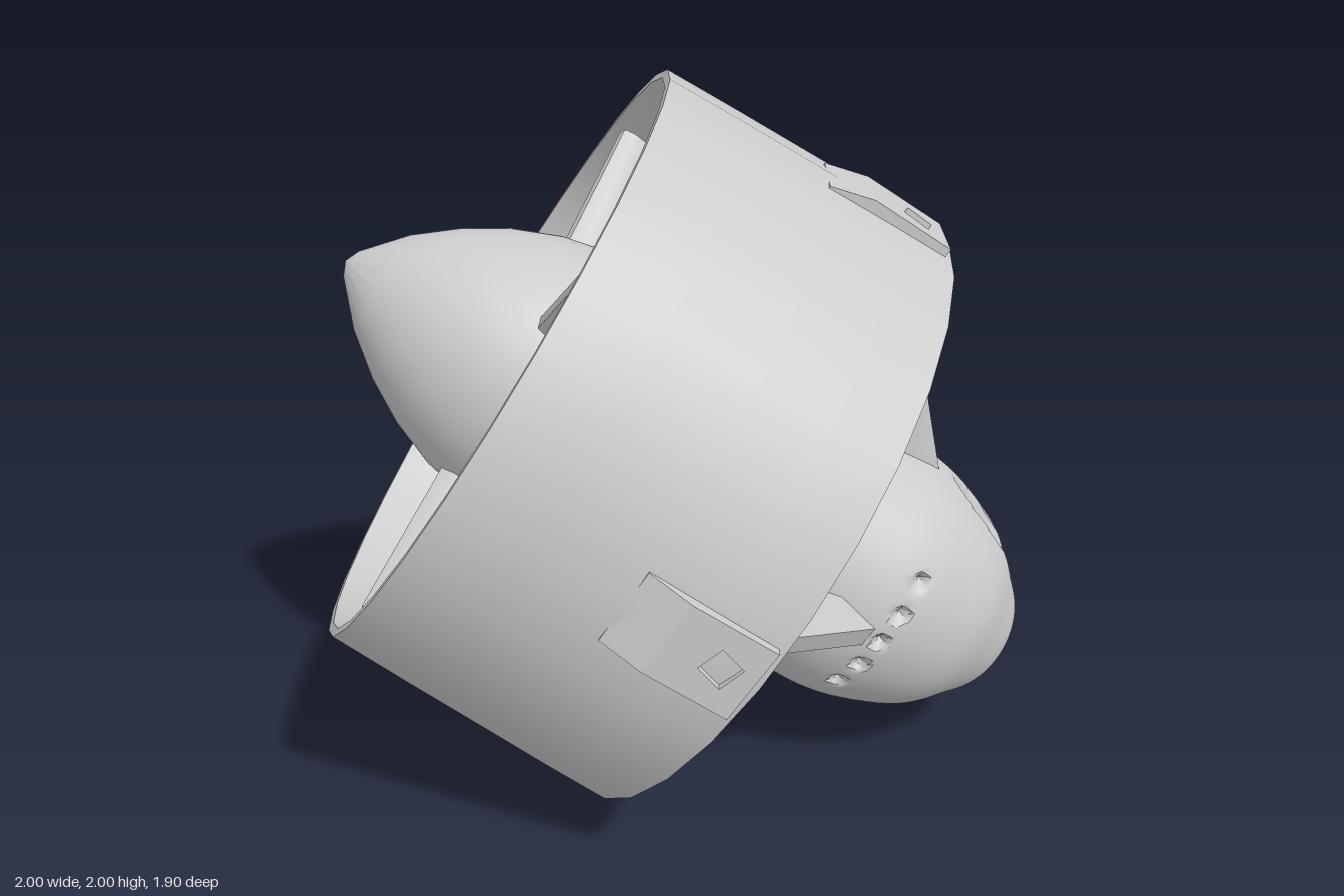
import * as THREE from 'three';
import { toCreasedNormals } from 'three/addons/utils/BufferGeometryUtils.js';

const grey = new THREE.MeshStandardMaterial({ color: 0xcccccc });
const v2 = (p) => new THREE.Vector2(p[0], p[1]);

function mesh(name, geometry) {
  const m = new THREE.Mesh(geometry, grey);
  m.name = name;
  return m;
}

// Move every vertex by a rule, then refresh the normals
function warp(geo, rule) {
  const p = geo.attributes.position;
  const v = new THREE.Vector3();
  for (let i = 0; i < p.count; i++) {
    rule(v.fromBufferAttribute(p, i));
    p.setXYZ(i, v.x, v.y, v.z);
  }
  geo.computeVertexNormals();
  return geo;
}

// Radial vane: x runs outwards, y along the shaft, z across the thickness
function vane(sides, steps, rule) {
  const g = new THREE.CylinderGeometry(1, 1, 1, sides, steps).rotateZ(-Math.PI / 2);
  return toCreasedNormals(warp(g, (v) => rule(v, v.x + 0.5)), 0.6);
}

function polygonPath(Type, n, r, cx = 0, cy = 0, turn = 0) {
  const pts = [];
  for (let i = 0; i < n; i++) {
    const a = turn + (i / n) * Math.PI * 2;
    pts.push(new THREE.Vector2(cx + r * Math.cos(a), cy + r * Math.sin(a)));
  }
  return new Type(pts);
}

function arcSlot(r0, r1, a0, a1) {
  const p = new THREE.Path();
  p.absarc(0, 0, r1, a0, a1, false);
  p.absarc(0, 0, r0, a1, a0, true);
  p.closePath();
  return p;
}

const extrude = (shape, depth) =>
  new THREE.ExtrudeGeometry(shape, { depth, bevelEnabled: false, curveSegments: 6 });

// Duct ring with a narrowing throat
function duct() {
  const profile = [[0.87, -0.43], [0.895, -0.43], [0.908, -0.2], [0.92, 0.05], [0.93, 0.25],
    [0.936, 0.43], [0.905, 0.43], [0.855, 0.32], [0.815, 0.18], [0.785, 0.02], [0.785, -0.1],
    [0.81, -0.25], [0.87, -0.43]];
  return toCreasedNormals(new THREE.LatheGeometry(profile.map(v2), 28), 0.5);
}

// Motor pod with a rounded end, a window recess and a row of small notches
function pod() {
  const dome = new THREE.SplineCurve([[0.395, 0.7], [0.393, 0.82], [0.37, 0.94], [0.31, 1.095],
    [0.225, 1.2], [0.14, 1.28], [0, 1.325]].map(v2)).getPoints(60);
  dome[60].x = 0;
  const profile = [[0, -0.23], [0.375, -0.23], [0.392, -0.21], [0.395, 0.2]].map(v2).concat(dome);
  const g = new THREE.LatheGeometry(profile, 160).rotateY(Math.PI / 4);
  warp(g, (v) => {
    const rim = 1 - Math.hypot(v.z / 0.068, (v.y - 1.03) / 0.16);
    if (v.x < 0 && rim > 0) v.x += 0.06 * Math.min(1, rim * 2.5);
    for (let i = -2; i <= 2; i++) {
      const d = Math.hypot(v.x - i * 0.095, v.y - 0.845);
      if (v.z > 0 && d < 0.03) v.z -= 0.04 * (1 - d / 0.03);
    }
    if (v.z < 0 && Math.abs(v.x) < 0.04 && Math.abs(v.y - 0.87) < 0.035) v.z += 0.03;
  });
  return toCreasedNormals(g, 0.6);
}

// Pointed propeller hub
function hub() {
  const profile = [[0, -0.897], [0.04, -0.88], [0.15, -0.785], [0.24, -0.675], [0.31, -0.56],
    [0.365, -0.43], [0.393, -0.31], [0.395, -0.25], [0.375, -0.23], [0, -0.23]];
  return toCreasedNormals(new THREE.LatheGeometry(profile.map(v2), 48), 0.6);
}

// Raised socket pad with a ramp that slopes down to the duct at its rear
function socketPad() {
  const group = new THREE.Group();
  group.name = 'socketPad';
  const shape = new THREE.Shape([[-0.11, 0.17], [0.11, 0.17], [0.11, 0.41], [-0.11, 0.41]].map(v2));
  shape.holes.push(polygonPath(THREE.Path, 4, 0.055, 0, 0.32, 0.5));
  group.add(mesh('padTop', extrude(shape, 0.047).translate(0, 0, 0.9)));
  const ramp = new THREE.BoxGeometry(0.22, 0.12, 0.047).translate(0, 0.11, 0.9235);
  group.add(mesh('padRamp', warp(ramp, (v) => {
    if (v.y < 0.1 && v.z > 0.92) v.z = 0.913;
  })));
  return group;
}

// Round side plate: solid base that follows the duct, with a pierced face
function sidePlate() {
  const group = new THREE.Group();
  group.name = 'sidePlate';
  const base = warp(extrude(polygonPath(THREE.Shape, 12, 0.355, 0, 0, 0.26), 0.04).translate(0, 0, 0.885), (v) => {
    if (v.z < 0.9) v.z = Math.sqrt(0.89 * 0.89 - v.x * v.x);
  });
  const face = polygonPath(THREE.Shape, 12, 0.345, 0, 0, 0.26);
  face.holes.push(polygonPath(THREE.Path, 5, 0.05));
  for (let i = 0; i < 3; i++) {
    const a = (i / 3) * Math.PI * 2;
    face.holes.push(arcSlot(0.1, 0.16, a + 0.25, a + 1.8));
  }
  for (let i = 0; i < 4; i++) {
    const a = (i / 4) * Math.PI * 2;
    face.holes.push(arcSlot(0.2, 0.28, a + 0.1, a + 0.85));
    face.holes.push(polygonPath(THREE.Path, 4, 0.05, 0.25 * Math.cos(a + 1.2), 0.25 * Math.sin(a + 1.2), a));
  }
  group.add(mesh('plateBase', base));
  group.add(mesh('plateFace', extrude(face, 0.032).translate(0, 0, 0.923)));
  return group;
}

export function createModel() {
  const model = new THREE.Group();
  model.name = 'ductedThruster';

  // Local y is the shaft, running from the propeller to the pod's rounded end
  const unit = new THREE.Group();
  unit.name = 'thrusterUnit';
  unit.position.set(-0.15, 1.02, 0);
  unit.rotation.z = THREE.MathUtils.degToRad(-123.1);
  model.add(unit);
  unit.add(mesh('duct', duct()), mesh('motorPod', pod()), mesh('propellerHub', hub()));

  // Swept struts join the pod to the duct
  const lerp = THREE.MathUtils.lerp;
  const strut = vane(6, 1, (v, s) => {
    v.x = lerp(0.36, 0.87, s);
    v.y = v.y * lerp(0.16, 0.12, s) + lerp(0.7, 0.225, s);
    v.z *= lerp(0.062, 0.055, s);
  });
  // Thick blades, set nearly along the shaft
  const blade = vane(10, 5, (v, s) => {
    const pitch = lerp(0.2, 0.3, s);
    const chord = v.y * lerp(0.115, 0.07, s);
    const thick = v.z * lerp(0.055, 0.035, s);
    v.x = lerp(0.3, 0.8, s);
    v.y = chord * Math.cos(pitch) - thick * Math.sin(pitch) + lerp(-0.29, -0.345, s);
    v.z = chord * Math.sin(pitch) + thick * Math.cos(pitch);
  });
  for (let i = 0; i < 4; i++) {
    const s = mesh('strut', strut);
    s.rotation.y = (i * Math.PI) / 2;
    const b = mesh('propellerBlade', blade);
    b.rotation.y = ((i + 0.5) * Math.PI) / 2;
    unit.add(s, b);
  }

  // Pads on three sides, the round plate on the fourth
  for (const turn of [-1, 0, 1]) {
    const p = socketPad();
    p.rotation.y = (turn * Math.PI) / 2;
    unit.add(p);
  }
  const plate = sidePlate();
  plate.rotation.y = Math.PI;
  unit.add(plate);
  return model;
}
